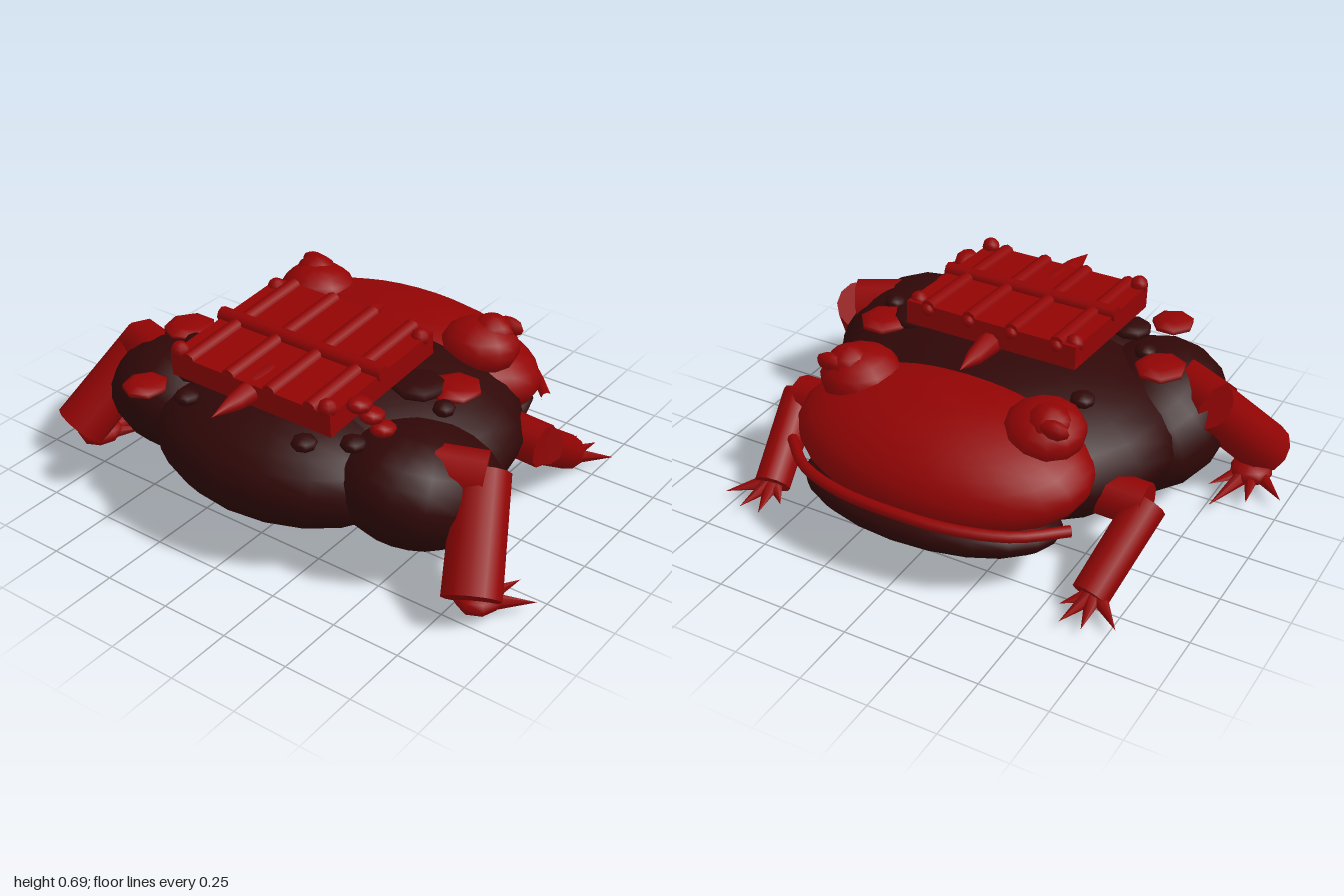
import * as THREE from 'three';

export function createModel() {
  const frog = new THREE.Group();
  frog.name = 'frog';
  const red = new THREE.MeshStandardMaterial({ color: 0x920404 });
  red.name = 'crimson';
  const dark = new THREE.MeshStandardMaterial({ color: 0x300707 });
  dark.name = 'dark maroon';
  const V = (a) => new THREE.Vector3(...a);

  const add = (name, geo, mat, parent = frog) => {
    const mesh = new THREE.Mesh(geo, mat);
    mesh.name = name;
    parent.add(mesh);
    return mesh;
  };
  const blob = (name, mat, pos, radii, tilt = 0, seg = 16, parent = frog) => {
    const mesh = add(name, new THREE.SphereGeometry(1, seg, Math.ceil(seg * 0.7)), mat, parent);
    mesh.position.set(...pos);
    mesh.scale.set(...radii);
    mesh.rotation.z = tilt;
    return mesh;
  };
  // Tapered cylinder or cone between two points
  const limb = (name, mat, from, to, r0, r1, seg = 10, parent = frog) => {
    const a = V(from), b = V(to), d = b.clone().sub(a);
    const mesh = add(name, new THREE.CylinderGeometry(r1, r0, d.length(), seg), mat, parent);
    mesh.position.copy(a).add(b).multiplyScalar(0.5);
    mesh.quaternion.setFromUnitVectors(new THREE.Vector3(0, 1, 0), d.normalize());
    return mesh;
  };

  // Body, head and jaw (the frog looks along +x)
  blob('body', dark, [-0.03, 0.293, 0], [0.57, 0.28, 0.685], 0, 20);
  blob('rump', dark, [-0.35, 0.305, 0], [0.38, 0.232, 0.5], -0.08, 18);
  blob('head', red, [0.365, 0.36, 0], [0.325, 0.197, 0.56], -0.2, 24);
  blob('jaw', dark, [0.45, 0.197, 0], [0.28, 0.113, 0.49], 0.12, 20);

  // Lip around the mouth
  const lip = new THREE.CatmullRomCurve3([
    [0.48, 0.27, 0.55], [0.61, 0.28, 0.41], [0.685, 0.29, 0.22], [0.71, 0.298, 0],
    [0.685, 0.29, -0.22], [0.61, 0.28, -0.41], [0.48, 0.27, -0.55],
  ].map(V));
  add('lip', new THREE.TubeGeometry(lip, 24, 0.02, 8), red);

  for (const s of [1, -1]) {
    const side = s > 0 ? 'left' : 'right';
    // Eye with socket, eyeball and pupil
    blob(side + 'EyeSocket', red, [0.31, 0.505, 0.36 * s], [0.143, 0.1, 0.145], -0.1, 12);
    blob(side + 'Eyeball', red, [0.335, 0.55, 0.39 * s], [0.08, 0.073, 0.08], 0, 10);
    blob(side + 'Pupil', red, [0.385, 0.57, 0.43 * s], [0.03, 0.035, 0.06], 0, 8);

    // Front leg
    limb(side + 'UpperArm', red, [0.22, 0.265, 0.46 * s], [0.215, 0.255, 0.7 * s], 0.08, 0.08);
    limb(side + 'Forearm', red, [0.21, 0.262, 0.7 * s], [0.505, 0.055, 0.64 * s], 0.07, 0.066);
    for (const [x, z] of [[0.6, 0.78], [0.65, 0.68], [0.65, 0.6], [0.57, 0.56]]) {
      limb(side + 'FrontToe', red, [0.48, 0.055, 0.65 * s], [x, 0.035, z * s], 0.035, 0, 6);
    }

    // Hind leg
    const thigh = blob(side + 'Thigh', dark, [-0.27, 0.29, 0.5 * s], [0.32, 0.215, 0.28], -0.35, 16);
    thigh.rotation.y = -0.1 * s;
    limb(side + 'Knee', red, [-0.33, 0.42, 0.59 * s], [-0.26, 0.4, 0.745 * s], 0.085, 0.095, 8);
    limb(side + 'Shin', red, [-0.24, 0.41, 0.725 * s], [-0.5, 0.115, 0.86 * s], 0.095, 0.1, 12);
    blob(side + 'Foot', red, [-0.42, 0.065, 0.84 * s], [0.09, 0.045, 0.08], 0, 8);
    for (const [x, z] of [[-0.31, 0.995], [-0.24, 0.89], [-0.16, 0.78], [-0.28, 0.73]]) {
      limb(side + 'HindToe', red, [-0.44, 0.06, 0.84 * s], [x, 0.045, z * s], 0.04, 0, 6);
    }
  }

  // Tilted raft carried on the back
  const raft = new THREE.Group();
  raft.name = 'raft';
  raft.position.set(-0.25, 0.608, 0);
  raft.rotation.z = 0.07;
  frog.add(raft);
  add('deck', new THREE.BoxGeometry(0.585, 0.086, 0.67), red, raft);
  for (const z of [-0.26, -0.085, 0.085, 0.25]) {
    limb('log', red, [-0.292, 0.036, z], [0.292, 0.036, z], 0.028, 0.028, 8, raft);
    blob('logEnd', red, [0.292, 0.028, z], [0.018, 0.022, 0.024], 0, 8, raft);
  }
  limb('crossbar', red, [-0.01, 0.047, -0.345], [-0.01, 0.047, 0.345], 0.028, 0.028, 8, raft);
  for (const z of [-0.31, 0.31]) {
    for (const [x, y] of [[-0.27, 0.052], [0.25, 0.036]]) {
      blob('cornerKnot', red, [x, y, z], [0.032, 0.032, 0.034], 0, 8, raft);
    }
  }

  // Pointed pole under the raft
  const profile = [[0, -0.73], [0.032, -0.61], [0.05, -0.45], [0.048, 0], [0.03, 0.15], [0, 0.245]];
  const pole = add('pole', new THREE.LatheGeometry(profile.map((p) => new THREE.Vector2(...p)), 10), red);
  pole.rotation.z = -Math.PI / 2;
  pole.position.y = 0.592;

  // Flat red patches, beads and dark warts on the back
  for (const [x, y, z, r] of [[-0.58, 0.485, -0.43, 0.085], [-0.22, 0.515, -0.54, 0.1], [-0.02, 0.525, 0.47, 0.1]]) {
    blob('patch', red, [x, y, z], [r, 0.027, r * 0.95], 0, 7);
  }
  for (const [x, y, z] of [[-0.37, 0.525, 0.42], [-0.39, 0.575, 0.39], [-0.42, 0.62, 0.36]]) {
    blob('bead', red, [x, y, z], [0.053, 0.028, 0.042], -0.2, 8);
  }
  for (const [x, y, z, r] of [
    [-0.29, 0.52, -0.45, 0.042], [0.11, 0.525, -0.4, 0.045], [-0.15, 0.525, 0.51, 0.04],
    [-0.09, 0.535, 0.37, 0.1], [-0.43, 0.51, -0.33, 0.075], [-0.48, 0.51, 0.38, 0.045],
    [-0.57, 0.51, 0.25, 0.045], [-0.57, 0.5, -0.25, 0.045],
  ]) {
    blob('wart', dark, [x, y, z], [r, 0.028, r], 0, 8);
  }
  return frog;
}
